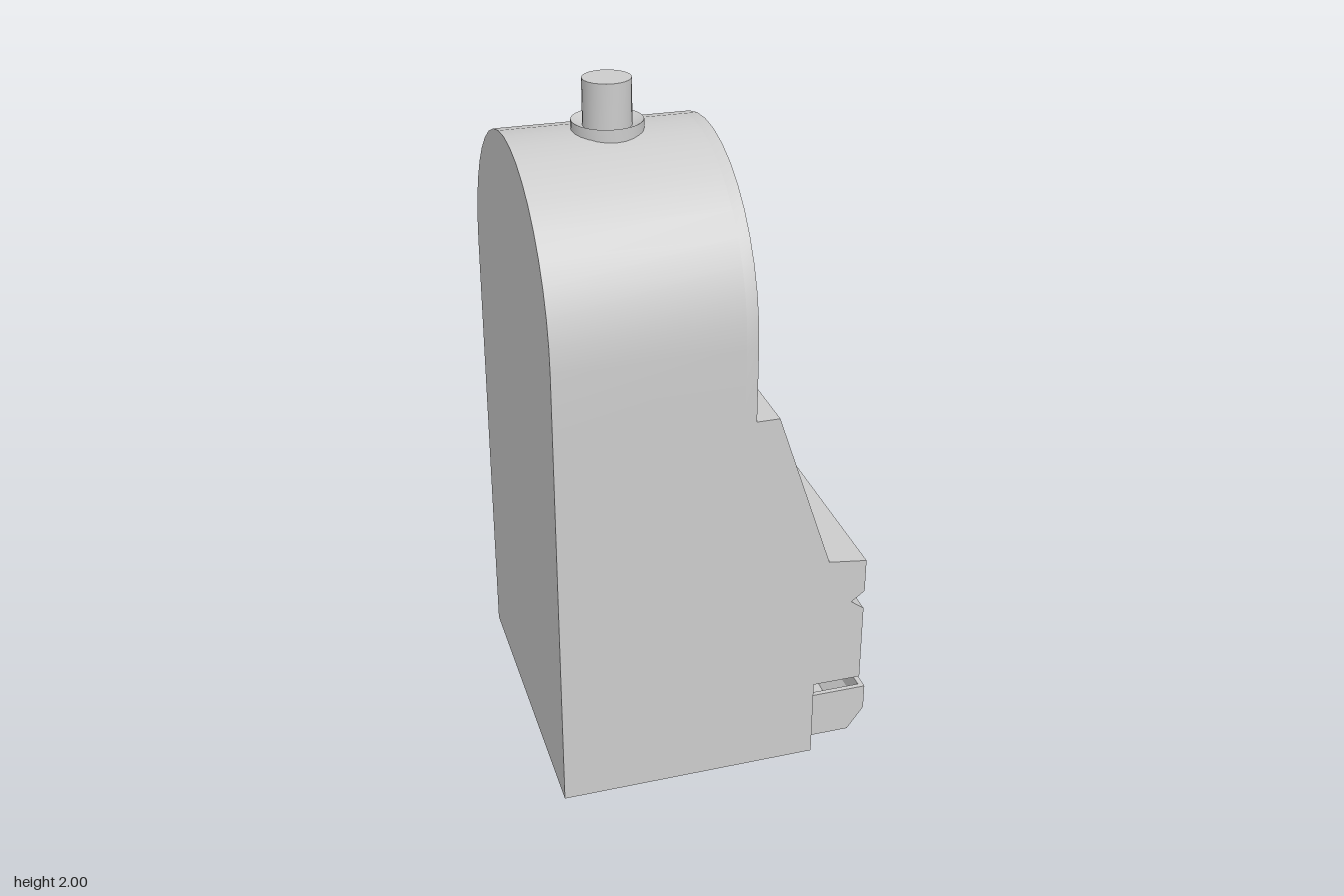
import * as THREE from 'three';
import { toCreasedNormals } from 'three/addons/utils/BufferGeometryUtils.js';

const mat = new THREE.MeshStandardMaterial({ color: 0xcccccc });
const matDouble = new THREE.MeshStandardMaterial({ color: 0xcccccc, side: THREE.DoubleSide });

function add(parent, name, geo, material = mat) {
  const mesh = new THREE.Mesh(toCreasedNormals(geo, 0.6), material);
  mesh.name = name;
  parent.add(mesh);
  return mesh;
}
const poly = pts => new THREE.Shape(pts.map(p => new THREE.Vector2(p[0], p[1])));
const rect = (x0, x1, y0, y1) => poly([[x0, y0], [x1, y0], [x1, y1], [x0, y1]]);

// Arched outline: straight sides topped by a half circle
function arch(r, y0) {
  const s = new THREE.Shape();
  s.moveTo(-r, y0).lineTo(r, y0).lineTo(r, 1.38);
  s.absarc(0, 1.38, r, 0, Math.PI, false);
  return s;
}
// Side profile (x, y) extruded across the width
function across(shape, z0, z1) {
  return new THREE.ExtrudeGeometry(shape, { depth: z1 - z0, bevelEnabled: false, curveSegments: 10 }).translate(0, 0, z0);
}
// Outline drawn facing the machine, extruded along x
function along(shape, x0, x1) {
  return new THREE.ExtrudeGeometry(shape, { depth: x1 - x0, bevelEnabled: false, curveSegments: 10 })
    .rotateY(Math.PI / 2).translate(x0, 0, 0);
}
function quads(list) {
  const pos = [];
  for (const [a, b, c, d] of list) pos.push(...a, ...b, ...c, ...a, ...c, ...d);
  const g = new THREE.BufferGeometry();
  g.setAttribute('position', new THREE.Float32BufferAttribute(pos, 3));
  g.computeVertexNormals();
  return g;
}

export function createModel() {
  const model = new THREE.Group();
  model.name = 'slotMachine';
  const cabinet = new THREE.Group();
  cabinet.name = 'cabinet';
  cabinet.position.z = 0.1;
  model.add(cabinet);

  // Lower body with stepped front
  add(cabinet, 'lowerBody', across(poly([
    [-0.48, 0], [0.285, 0], [0.285, 0.245], [0.43, 0.245], [0.43, 0.49], [0.39, 0.52], [0.43, 0.55],
    [0.43, 0.655], [0.315, 0.67], [0.03, 0.67], [0.03, 1.16], [-0.48, 1.16],
  ]), -0.48, 0.48));

  // Arched upper body and raised rim around the sign
  add(cabinet, 'upperBody', along(arch(0.48, 1.16), -0.48, 0.05));
  const rim = arch(0.48, 1.16);
  rim.holes.push(arch(0.437, 1.205));
  add(cabinet, 'signRim', along(rim, 0.05, 0.083));

  // Sloped frame with walls flaring in to the reel panel
  const slope = y => 0.315 - (y - 0.67) * 0.337;
  const outer = (y, z) => [slope(y), y, z];
  const inner = (y, z) => [slope(y) - 0.085, y, z];
  const back = (y, z) => [0.03, y, z];
  const W = 0.48, O = 0.445, P = 0.39, yB = 0.67, yO = 1.14, yP = 1.09, yT = 1.16;
  const faces = [
    [outer(yO, O), outer(yO, -O), outer(yT, -W), outer(yT, W)],
    [outer(yO, O), inner(yP, P), inner(yP, -P), outer(yO, -O)],
    [outer(yT, W), outer(yT, -W), back(yT, -W), back(yT, W)],
  ];
  for (const s of [1, -1]) {
    faces.push([outer(yB, s * W), outer(yB, s * O), outer(yO, s * O), outer(yT, s * W)]);
    faces.push([outer(yB, s * O), inner(yB, s * P), inner(yP, s * P), outer(yO, s * O)]);
    faces.push([back(yB, s * W), outer(yB, s * W), outer(yT, s * W), back(yT, s * W)]);
  }
  add(cabinet, 'reelFrame', quads(faces), matDouble);

  // Leaning panel with three reel windows
  const windows = [[-0.355, -0.215], [-0.175, -0.025], [0.015, 0.165]];
  const panel = rect(-P, P, yB, yP);
  for (const [a, b] of windows) panel.holes.push(rect(a, b, 0.76, 0.99));
  const panelGeo = along(panel, -0.145, -0.085);
  const pos = panelGeo.attributes.position;
  for (let i = 0; i < pos.count; i++) pos.setX(i, pos.getX(i) + slope(pos.getY(i)));
  add(cabinet, 'reelPanel', panelGeo);
  for (const [a, b] of windows) {
    const reel = new THREE.CylinderGeometry(0.15, 0.15, b - a, 32).rotateX(Math.PI / 2);
    add(cabinet, 'reel', reel.translate(0.005, 0.855, -(a + b) / 2));
  }

  // Coin box with slot
  const coinFace = rect(0.19, 0.39, 0.67, 0.76);
  coinFace.holes.push(rect(0.22, 0.36, 0.70, 0.738));
  add(cabinet, 'coinBoxFront', along(coinFace, 0.255, 0.285));
  add(cabinet, 'coinBoxBack', along(rect(0.19, 0.39, 0.67, 0.76), 0.16, 0.255));

  // Payout tray, open at the top
  add(cabinet, 'trayShell', across(poly([
    [0.285, 0], [0.43, 0], [0.48, 0.07], [0.48, 0.15], [0.465, 0.15], [0.465, 0.08], [0.42, 0.015], [0.285, 0.015],
  ]), -0.41, 0.41));
  for (const z of [-0.413, 0.398]) {
    add(cabinet, 'trayEnd', across(poly([[0.285, 0], [0.43, 0], [0.48, 0.07], [0.48, 0.15], [0.285, 0.15]]), z, z + 0.015));
  }

  // Signal lamp on the roof
  const lathe = (pts, n) => new THREE.LatheGeometry(pts.map(p => new THREE.Vector2(p[0], p[1])), n);
  add(cabinet, 'lampBase', lathe([[0.1, 1.83], [0.1, 1.885], [0.066, 1.868]], 24), matDouble).position.x = -0.195;
  add(cabinet, 'lamp', new THREE.CylinderGeometry(0.068, 0.068, 0.15, 24).translate(-0.195, 1.925, 0));

  // Pull lever on the right side
  const lever = new THREE.Group();
  lever.name = 'lever';
  model.add(lever);
  const hub = lathe([[0.105, 0], [0.083, 0.09], [0.072, 0.107], [0, 0.107]], 20).rotateX(-Math.PI / 2);
  add(lever, 'leverHub', hub.translate(-0.02, 0.51, -0.38));
  const path = new THREE.CatmullRomCurve3([
    [-0.02, 0.52, -0.425], [-0.02, 0.65, -0.443], [-0.018, 0.78, -0.461],
    [0.0, 0.83, -0.468], [0.06, 0.95, -0.487], [0.115, 1.05, -0.507],
  ].map(p => new THREE.Vector3(...p)));
  add(lever, 'leverRod', new THREE.TubeGeometry(path, 20, 0.022, 12));
  add(lever, 'leverKnob', new THREE.SphereGeometry(0.076, 20, 14).translate(0.115, 1.053, -0.507));

  return model;
}
